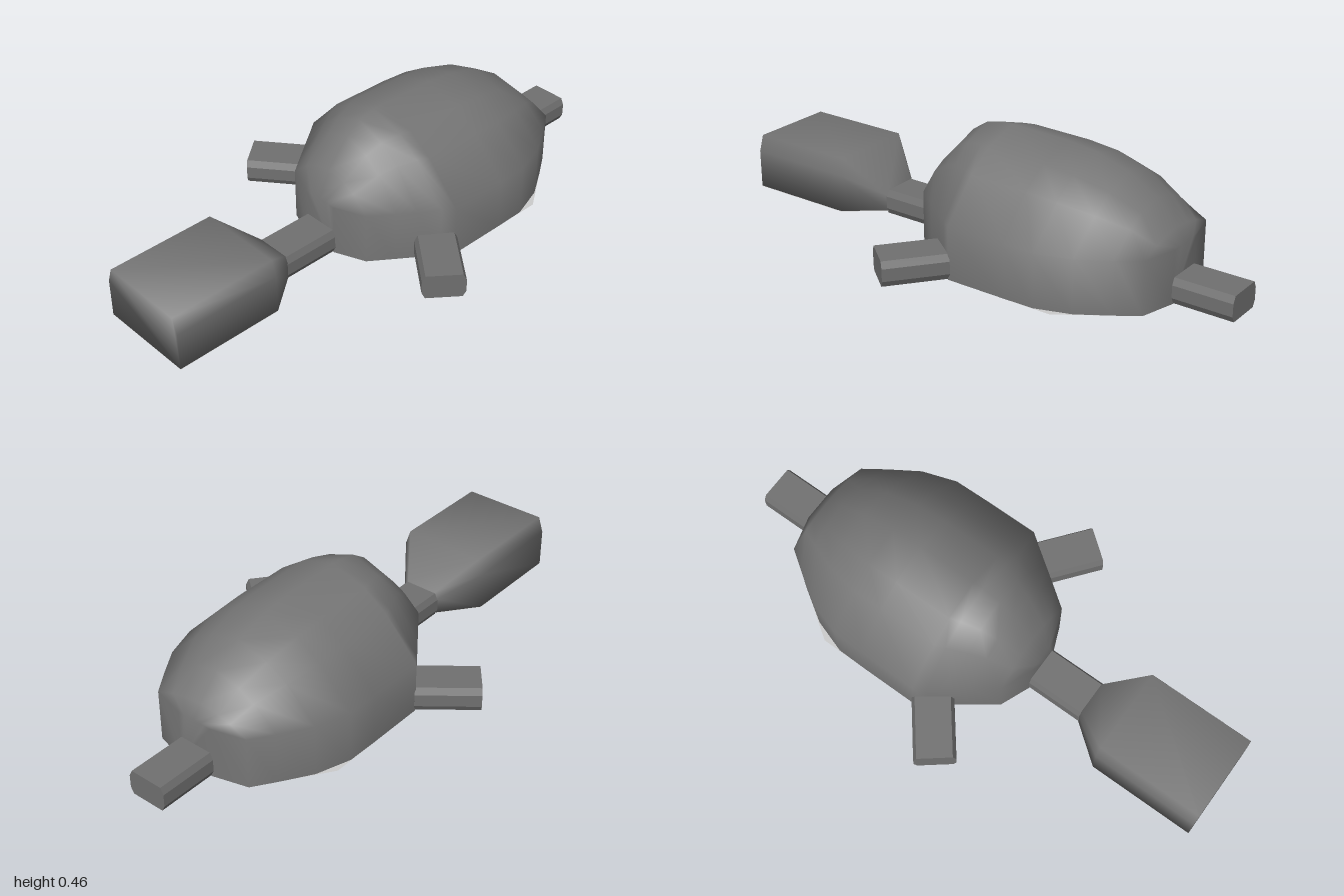
import * as THREE from 'three';

const smooth = new THREE.MeshStandardMaterial({ color: 0x757575 });
const flat = new THREE.MeshStandardMaterial({ color: 0x707070, flatShading: true });
const pale = new THREE.MeshStandardMaterial({ color: 0xcccccc, side: THREE.DoubleSide });

// Skin a stack of rings (counter-clockwise seen from +z, ordered back to front) and cap both ends.
// With openBottom the last side of each ring, along the ground, is left out.
function loft(sections, openBottom = false) {
  const n = sections[0].ring.length;
  const pos = [], idx = [];
  for (const { z, ring } of sections) for (const [x, y] of ring) pos.push(x, y, z);
  for (let i = 0; i < sections.length - 1; i++) {
    for (let j = 0; j < (openBottom ? n - 1 : n); j++) {
      const a = i * n + j, b = i * n + (j + 1) % n;
      idx.push(a, b, b + n, a, b + n, a + n);
    }
  }
  const last = (sections.length - 1) * n;
  for (let j = 1; j < n - 1; j++) {
    idx.push(0, j + 1, j);
    idx.push(last, last + j, last + j + 1);
  }
  const geo = new THREE.BufferGeometry();
  geo.setAttribute('position', new THREE.Float32BufferAttribute(pos, 3));
  geo.setIndex(idx);
  geo.computeVertexNormals();
  return geo;
}

// Complete a right-hand half outline with its mirror image.
function mirrored(half) {
  const left = half.filter(([x]) => x > 0).reverse().map(([x, y]) => [-x, y]);
  return [...half, ...left];
}

// Domed cross-section: upright wall, then a faceted crown up to the ridge.
function shellRing(w, h) {
  const wall = 0.198, rise = h - wall;
  return mirrored([
    [w, 0], [w, wall], [0.64 * w, wall + 0.57 * rise], [0.38 * w, wall + 0.83 * rise], [0, h],
  ]);
}

// Box cross-section with beveled upper edges.
function headRing(w, top, shoulder, bevel) {
  return mirrored([[w, 0.015], [w, shoulder], [w - bevel, top]]);
}

// Eight-sided bar lying along z.
function limb(z0, z1) {
  const ring = mirrored([[0.065, 0.002], [0.077, 0.025], [0.077, 0.072], [0.065, 0.097]]);
  return loft([{ z: z0, ring }, { z: z1, ring }]);
}

// Flat downward-facing plate from half of its x, z outline.
function plate(half) {
  const points = mirrored(half).map(([x, z]) => new THREE.Vector2(x, z));
  return new THREE.ShapeGeometry(new THREE.Shape(points)).rotateX(Math.PI / 2);
}

export function createModel() {
  const model = new THREE.Group();
  model.name = 'turtle';
  const add = (name, geometry, material) => {
    const mesh = new THREE.Mesh(geometry, material);
    mesh.name = name;
    model.add(mesh);
    return mesh;
  };

  // Shell: z, half width, ridge height
  const stations = [
    [-0.775, 0.07, 0.198], [-0.74, 0.2, 0.245], [-0.66, 0.255, 0.33], [-0.55, 0.325, 0.395],
    [-0.42, 0.368, 0.435], [-0.3, 0.37, 0.45], [-0.07, 0.37, 0.456], [-0.03, 0.34, 0.456],
    [0.04, 0.29, 0.44], [0.1, 0.247, 0.4], [0.185, 0.185, 0.3], [0.232, 0.07, 0.198],
  ];
  add('shell', loft(stations.map(([z, w, h]) => ({ z, ring: shellRing(w, h) })), true), smooth);

  // Pale underside, a little wider than the shell at the rear corners
  add('underside', plate([
    [0.07, 0.232], [0.185, 0.185], [0.37, -0.07], [0.37, -0.49], [0.2, -0.74], [0.07, -0.775],
  ]), pale);

  // Head: tapers down to the neck at the back
  add('head', loft([
    { z: 0.45, ring: headRing(0.075, 0.1, 0.075, 0.012) },
    { z: 0.59, ring: headRing(0.183, 0.22, 0.16, 0.02) },
    { z: 1, ring: headRing(0.183, 0.22, 0.16, 0.02) },
  ]), smooth);

  // Pale underside of the head
  const jaw = add('headUnderside', plate([[0.183, 1], [0.183, 0.59], [0.075, 0.45]]), pale);
  jaw.position.y = 0.013;

  // Neck and tail
  add('neck', limb(0.232, 0.455), flat);
  add('tail', limb(-1, -0.775), flat);

  // Front legs, splayed outward and forward
  for (const [name, side] of [['leftLeg', 1], ['rightLeg', -1]]) {
    const leg = add(name, limb(-0.01, 0.225), flat);
    leg.position.set(side * 0.332, 0, -0.013);
    leg.rotation.y = side * Math.atan2(0.78, 0.62);
  }

  return model;
}
